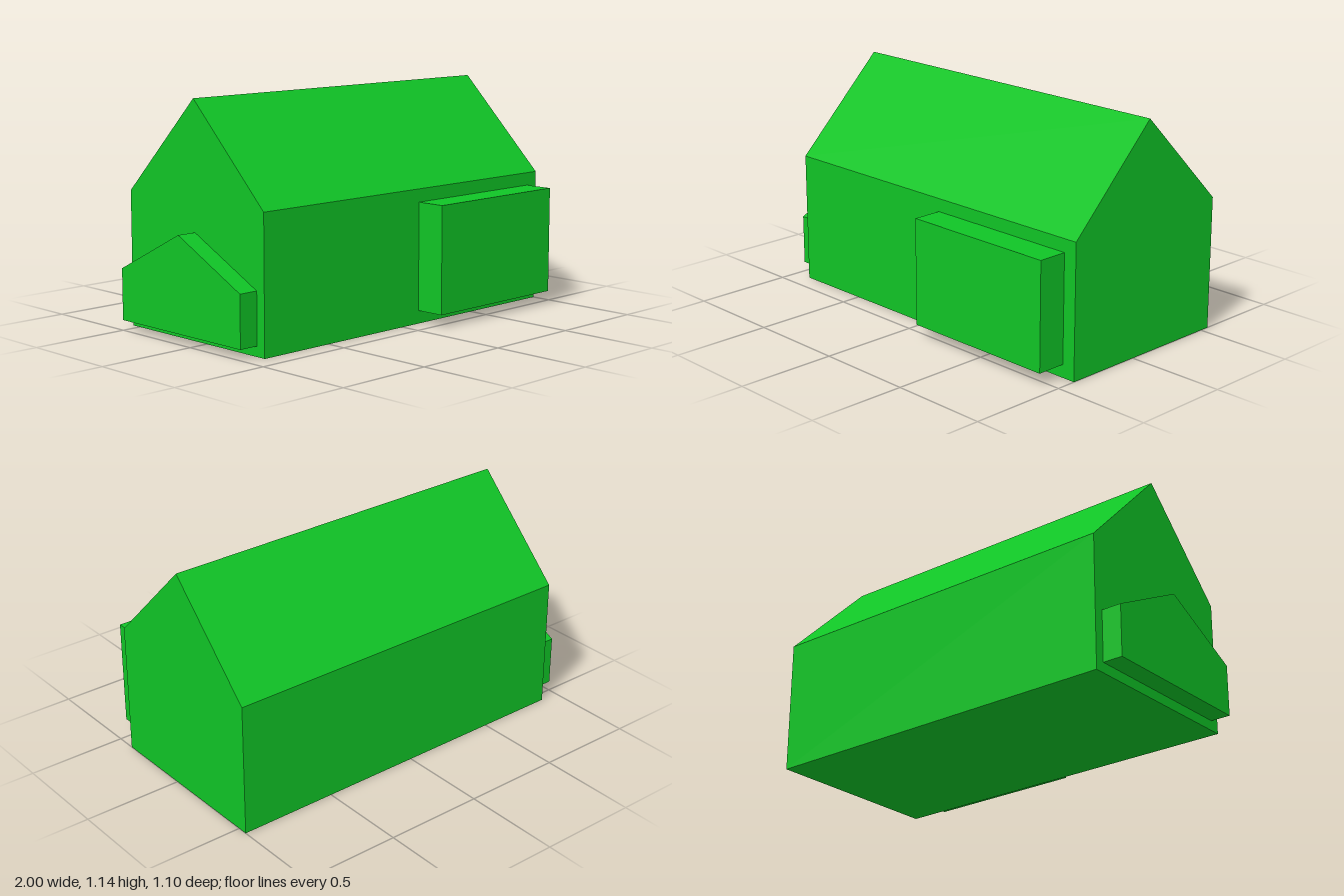
import * as THREE from 'three';

const green = new THREE.MeshStandardMaterial({ color: 0x10c426 });
green.name = 'green';

// Gabled block with its ridge along x
function gabledBlock(name, x0, x1, z0, z1, base, eaves, ridge) {
  const mid = (z0 + z1) / 2;
  const shape = new THREE.Shape([
    [-z1, base], [-z0, base], [-z0, eaves], [-mid, ridge], [-z1, eaves],
  ].map(([a, b]) => new THREE.Vector2(a, b)));
  const geometry = new THREE.ExtrudeGeometry(shape, { depth: x1 - x0, bevelEnabled: false });
  geometry.rotateY(Math.PI / 2); // shape x becomes -z, depth becomes +x
  geometry.translate(x0, 0, 0);
  const mesh = new THREE.Mesh(geometry, green);
  mesh.name = name;
  return mesh;
}

export function createModel() {
  const model = new THREE.Group();
  model.name = 'house';

  // Main house and the small gabled block on its end wall
  model.add(gabledBlock('mainHouse', -0.9, 1, -0.55, 0.4, 0, 0.665, 1.138));
  model.add(gabledBlock('endAnnex', -1, -0.9, -0.5, 0.35, 0.05, 0.303, 0.516));

  // Flat-topped bay on the front wall
  const bay = new THREE.Mesh(new THREE.BoxGeometry(0.82, 0.535, 0.15), green);
  bay.name = 'frontBay';
  bay.position.set(0.521, 0.3325, 0.475);
  model.add(bay);

  return model;
}
